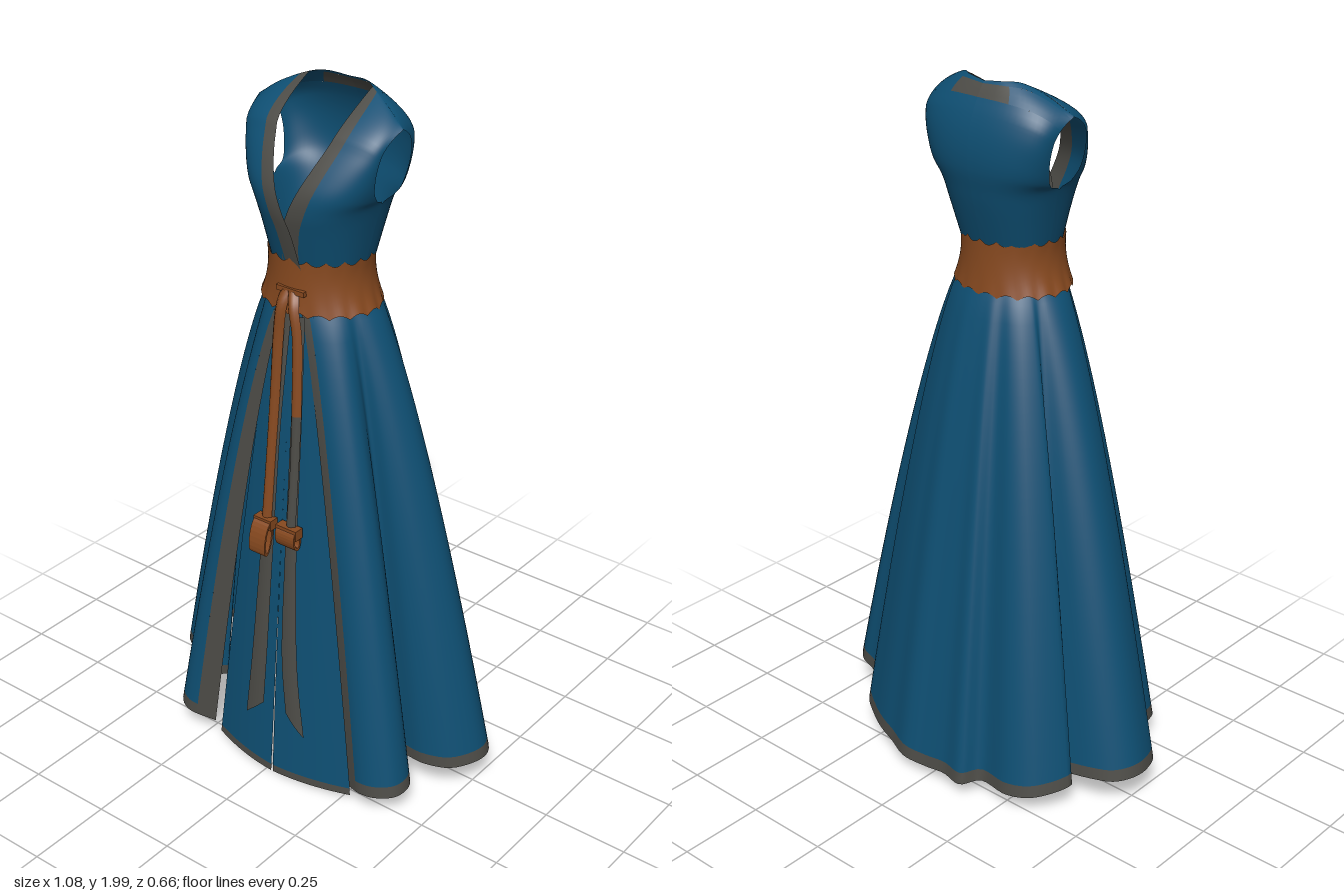
import * as THREE from 'three';

const paint = (name, color) => {
  const m = new THREE.MeshStandardMaterial({ color, side: THREE.DoubleSide });
  m.name = name;
  return m;
};
const V = (x, y, z) => new THREE.Vector3(x, y, z);
const curve = (pts) => new THREE.CatmullRomCurve3(pts.map((p) => V(...p)), false, 'catmullrom', 0.5);
const { lerp, smoothstep, clamp, degToRad } = THREE.MathUtils;

// Surface patch of fn(u, v) over the range [u0, u1, v0, v1]
function patch(fn, [u0, u1, v0, v1], nu, nv) {
  const pos = [], idx = [];
  for (let j = 0; j <= nv; j++) {
    for (let i = 0; i <= nu; i++) {
      const p = fn(lerp(u0, u1, i / nu), lerp(v0, v1, j / nv));
      pos.push(p.x, p.y, p.z);
    }
  }
  for (let j = 0; j < nv; j++) {
    for (let i = 0; i < nu; i++) {
      const a = j * (nu + 1) + i, b = a + nu + 1;
      idx.push(a, b, a + 1, a + 1, b, b + 1);
    }
  }
  const g = new THREE.BufferGeometry();
  g.setAttribute('position', new THREE.Float32BufferAttribute(pos, 3));
  g.setIndex(idx);
  g.computeVertexNormals();
  return g;
}

// Armhole and side seam edges, from waist to shoulder
const frontSide = [[.132, 1.53, .06], [.158, 1.65, .05], [.175, 1.715, .045], [.186, 1.735, .08],
  [.196, 1.77, .105], [.208, 1.83, .11], [.22, 1.89, .09], [.23, 1.92, .035]];
const backSide = [[.132, 1.53, .06], [.158, 1.65, .05], [.175, 1.715, .045], [.186, 1.735, .0],
  [.196, 1.77, -.02], [.208, 1.83, -.028], [.22, 1.89, -.012], [.23, 1.92, .035]];
// Wrapped neckline, centre back line, and the shoulder seam running into the back neck
const neckline = [[-.035, 1.53, .187], [-.018, 1.64, .21], [.005, 1.7, .218], [.03, 1.755, .212],
  [.055, 1.81, .187], [.08, 1.87, .148], [.097, 1.93, .1], [.1, 1.992, -.01]];
const centreBack = [[0, 1.53, -.05], [0, 1.65, -.085], [0, 1.71, -.1], [0, 1.77, -.112],
  [0, 1.83, -.112], [0, 1.89, -.1], [0, 1.95, -.075], [0, 1.99, -.047]];
const shoulderSeam = curve([[.23, 1.92, .035], [.165, 1.963, .015], [.1, 1.992, -.01],
  [.06, 1.995, -.036], [0, 1.99, -.047]]);

// Rounded cloth between two edges, closing on a share of the shoulder seam; s mirrors it
function bodiceSurface(outer, inner, seamShare, s, dz = 0) {
  const co = curve(outer), ci = curve(inner);
  return (t, v) => {
    const o = co.getPoint(v), i = ci.getPoint(v), k = 1 - t;
    const mix = (a, c, b) => k * k * a + 2 * k * t * c + t * t * b;
    const p = V(mix(o.x, o.x, i.x), mix(o.y, i.y, i.y), mix(o.z, i.z, i.z) + dz * t);
    p.lerp(shoulderSeam.getPoint(t * seamShare), smoothstep(v, 0.78, 1));
    p.x = 0.01 + s * p.x;
    return p;
  };
}

// Fluted hem, all the way round from the left front edge to the right front edge
const hem = curve([[.28, .06, .295], [.33, .07, .312], [.38, .075, .305], [.425, .08, .27],
  [.43, .085, .215], [.39, .09, .165], [.33, .095, .12], [.41, .1, .125], [.485, .1, .095],
  [.53, .105, .03], [.53, .105, -.03], [.48, .1, -.09], [.42, .095, -.11], [.34, .09, -.15],
  [.335, .08, -.21], [.27, .065, -.255], [.21, .06, -.285], [.15, .055, -.305], [.075, .05, -.333],
  [0, .045, -.325], [-.07, .05, -.32], [-.14, .05, -.33], [-.18, .055, -.28], [-.28, .06, -.29],
  [-.36, .07, -.255], [-.41, .085, -.16], [-.35, .09, -.14], [-.44, .1, -.12], [-.5, .1, -.09],
  [-.535, .105, -.04], [-.537, .105, .02], [-.51, .105, .08], [-.43, .1, .115], [-.31, .095, .13],
  [-.36, .085, .165], [-.372, .08, .225], [-.355, .075, .285], [-.305, .065, .312], [-.215, .06, .298]]);
const flare = (v) => Math.pow(v, 0.75);

export function createModel() {
  const blue = paint('blue cloth', 0x0e4f73);
  const brown = paint('brown sash', 0x87491f);
  const grey = paint('grey trim', 0x4c4b46);
  const model = new THREE.Group();
  model.name = 'dress';
  const add = (name, geo, mat) => {
    const m = new THREE.Mesh(geo, mat);
    m.name = name;
    model.add(m);
    return m;
  };

  // Bodice: wrapped fronts with trimmed neckline
  for (const s of [1, -1]) {
    const side = s > 0 ? 'left' : 'right';
    const front = bodiceSurface(frontSide, neckline, 0.5, s, s > 0 ? 0 : 0.006);
    add(side + 'FrontBodice', patch(front, [0, .84, 0, 1], 14, 42), blue);
    add(side + 'NecklineTrim', patch(front, [.84, 1, 0, 1], 3, 42), grey);
    // Back half with a small yoke patch under the neck
    const back = bodiceSurface(backSide, centreBack, 1, s);
    add(side + 'BackBodice', patch(back, [0, 1, 0, .84], 16, 36), blue);
    add(side + 'BackShoulder', patch(back, [0, .72, .84, .92], 12, 4), blue);
    add(side + 'YokePatch', patch(back, [.72, 1, .84, .92], 4, 4), grey);
    add(side + 'BackNeck', patch(back, [0, 1, .92, 1], 16, 4), blue);
  }

  // Waist sash with softly scalloped edges
  const sash = (t, v) => {
    const a = t * Math.PI * 2;
    const w = Math.abs(Math.sin(a * 9)) * 0.012;
    const y = lerp(1.572 - w, 1.418 + w, v);
    const r = 0.146 - 0.02 * v + 0.046 * v * v;
    return V(r * Math.sin(a) + 0.008, y, 0.066 + (0.134 + 0.01 * v * v) * Math.cos(a));
  };
  add('waistSash', patch(sash, [0, 1, 0, 1], 108, 8), brown);

  // Outer skirt: from the waist ring to the fluted hem, open at the front
  const skirt = (t, v) => {
    const a = degToRad(8 + 344 * t), h = hem.getPoint(t), f = flare(v);
    const x = 0.148 * Math.sin(a) + 0.01, z = 0.063 + 0.128 * Math.cos(a);
    return V(lerp(x, h.x, f), lerp(1.45, h.y, v), lerp(z, h.z, f));
  };
  const trimmed = (s, v) => {
    const e = 0.024 - 0.006 * v;
    return skirt(s < 0 ? e * (s + 1) : s > 1 ? 1 - e * (2 - s) : lerp(e, 1 - e, s), v);
  };
  add('outerSkirt', patch(trimmed, [0, 1, 0, .975], 170, 30), blue);
  add('hemTrim', patch(trimmed, [0, 1, .975, 1], 170, 1), grey);
  add('leftOpeningTrim', patch(trimmed, [-1, 0, 0, 1], 4, 30), grey);
  add('rightOpeningTrim', patch(trimmed, [1, 2, 0, 1], 4, 30), grey);

  // Front underskirt in two halves, parting in a slit towards the hem
  const panelZ = (y) => 0.185 + 0.138 * flare(clamp((1.45 - y) / 1.44, 0, 1));
  for (const s of [1, -1]) {
    const side = s > 0 ? 'left' : 'right';
    const panel = (t, v) => {
      const f = flare(v), y = 1.45 - v * (1.445 - 0.012 * t);
      const w = 0.05 + (s > 0 ? 0.2 : 0.175) * f;
      return V(0.02 + s * (0.003 * v ** 4 + w * t), y, panelZ(y) - 0.04 * f * t * t);
    };
    add(side + 'UnderskirtPanel', patch(panel, [0, 1, 0, .985], 10, 20), blue);
    add(side + 'UnderskirtHem', patch(panel, [0, 1, .985, 1], 10, 1), grey);
  }

  // Hanging ribbons, bowed across: path points are [x, y, width, distance off the skirt]
  const ribbon = (name, mat, pts, bow, point = 0) => {
    const path = curve(pts.map(([x, y, , d]) => [x, y, panelZ(y) + d]));
    const width = curve(pts.map((p) => [p[2], 0, 0]));
    add(name, patch((t, v) => {
      const p = path.getPoint(v), c = t - 0.5;
      p.x += c * width.getPoint(v).x;
      p.y += point * c * v * v;
      p.z += bow * (1 - 4 * c * c);
      return p;
    }, [0, 1, 0, 1], 4, 24), mat);
  };
  ribbon('rightLongRibbon', grey,
    [[0, 1.42, .03, .01], [-.015, 1.1, .036, .006], [-.025, .7, .045, .006], [-.035, .4, .055, .006], [-.045, .2, .065, .006]], .004, .06);
  ribbon('leftLongRibbon', grey,
    [[.045, 1.42, .03, .01], [.055, 1.1, .036, .006], [.06, .7, .04, .006], [.072, .4, .055, .006], [.1, .2, .065, .006]], .004, -.06);
  ribbon('rightStrap', brown,
    [[0, 1.485, .035, .014], [-.006, 1.44, .036, .03], [-.014, 1.35, .036, .02], [-.018, 1.2, .034, .012], [-.022, 1, .032, .01], [-.024, .82, .034, .012]], .013);
  ribbon('leftStrapUpper', brown,
    [[.02, 1.485, .035, .014], [.035, 1.44, .036, .03], [.05, 1.35, .034, .02], [.058, 1.15, .034, .012]], .013);
  ribbon('leftStrapLower', grey, [[.058, 1.15, .034, .012], [.06, 1, .03, .01], [.06, .82, .032, .012]], .013);

  // Knot bar where the ribbons leave the sash
  add('knot', new THREE.BoxGeometry(.09, .014, .012), brown).position.set(.015, 1.485, .203);

  // Folded ribbon ends: a wrapped band and a thick open loop below it
  for (const [side, x, w, drop, z, tilt] of [['right', -.024, .06, .1, .298, -.22], ['left', .058, .07, .06, .282, .1]]) {
    add(side + 'RibbonBand', new THREE.BoxGeometry(w, .03, .03), brown).position.set(x, .812, .277);
    const ring = new THREE.Shape().absellipse(0, 0, .016, drop / 2, 0, Math.PI * 2);
    ring.holes.push(new THREE.Path().absellipse(0, 0, .01, drop / 2 - .009, 0, Math.PI * 2, true));
    const loop = new THREE.ExtrudeGeometry(ring, { depth: w * .92, bevelEnabled: false, curveSegments: 10 });
    loop.translate(0, 0, -w * .46).rotateY(Math.PI / 2).rotateX(tilt);
    add(side + 'RibbonLoop', loop, brown).position.set(x, .822 - drop / 2, z);
  }
  return model;
}
